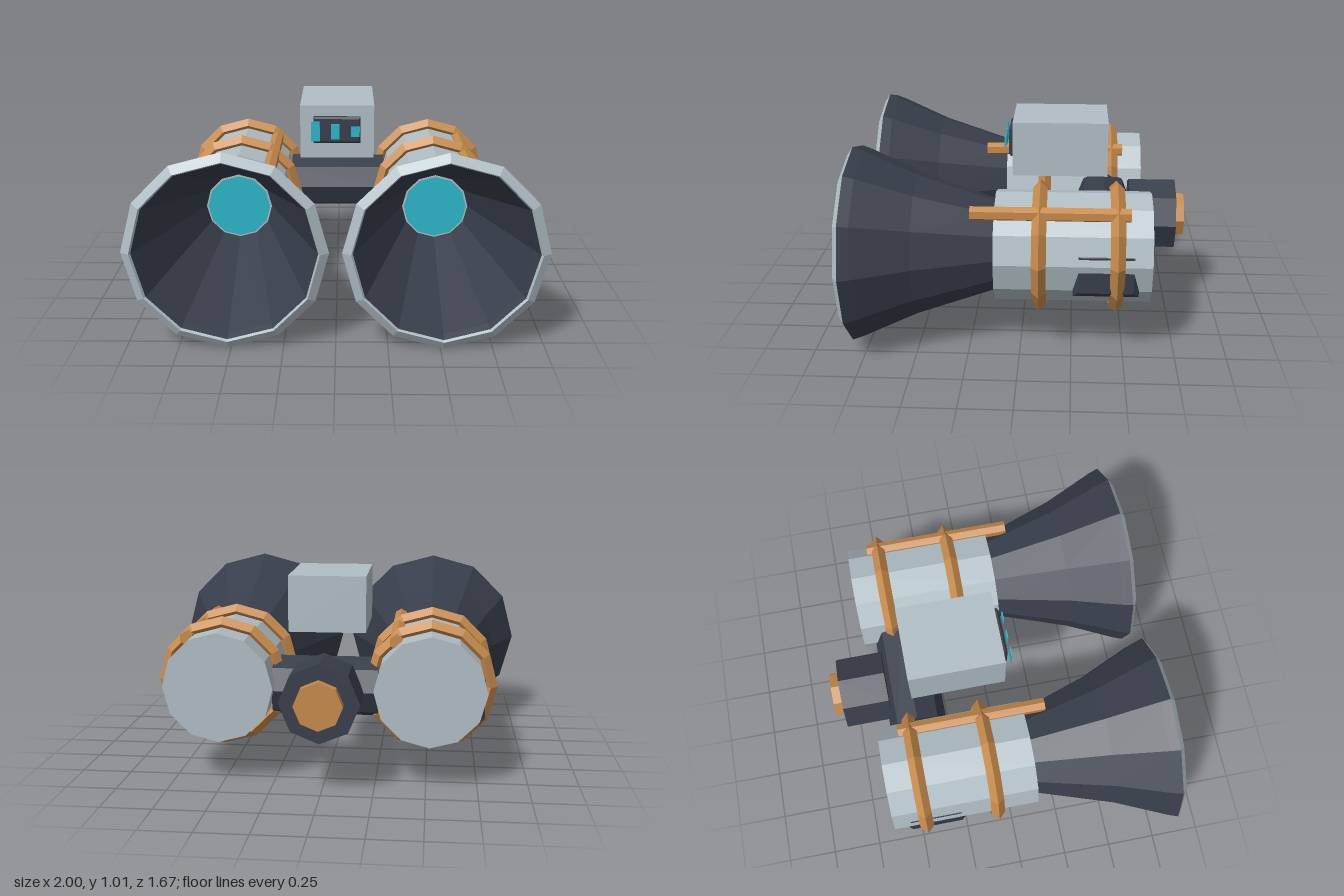
import * as THREE from 'three';

const flat = (name, color) => {
  const m = new THREE.MeshStandardMaterial({ color, flatShading: true });
  m.name = name;
  return m;
};

export function createModel() {
  const grey = flat('light grey', 0xb0bec5);
  const dark = flat('dark slate', 0x373d4a);
  const copper = flat('copper', 0xc68a4b);
  const cyan = flat('cyan', 0x2ab7ca);

  const model = new THREE.Group();
  model.name = 'twinHornUnit';

  const add = (parent, name, geometry, material, x = 0, y = 0, z = 0) => {
    const mesh = new THREE.Mesh(geometry, material);
    mesh.name = name;
    mesh.position.set(x, y, z);
    parent.add(mesh);
    return mesh;
  };
  // Prism lying along z, between two z values
  const prism = (parent, name, r, z0, z1, sides, material, x = 0, y = 0) =>
    add(parent, name, new THREE.CylinderGeometry(r, r, z1 - z0, sides).rotateX(Math.PI / 2),
      material, x, y, (z0 + z1) / 2);
  // Twelve-sided turned shell around z, from [radius, z] points
  const turned = (points) =>
    new THREE.LatheGeometry(points.map(([r, z]) => new THREE.Vector2(r, z)), 12).rotateX(Math.PI / 2);
  // Plate with chamfered front edges, facing +z with its front face at z = 0
  const chamferedPlate = (w, h, chamfer, depth) => {
    const s = new THREE.Shape();
    s.moveTo(-w / 2, -h / 2).lineTo(w / 2, -h / 2).lineTo(w / 2, h / 2).lineTo(-w / 2, h / 2);
    return new THREE.ExtrudeGeometry(s, {
      depth, bevelEnabled: true, bevelSize: chamfer, bevelThickness: chamfer, bevelSegments: 1,
    }).translate(0, 0, -depth - chamfer);
  };

  // Two horns with their bodies
  for (const side of [-1, 1]) {
    const horn = new THREE.Group();
    horn.name = side > 0 ? 'leftHorn' : 'rightHorn';
    horn.position.set(side * 0.515, 0.487, 0);
    model.add(horn);

    prism(horn, 'body', 0.272, -0.627, 0.123, 12, grey);

    // Flared bell, its lip and its inner wall
    add(horn, 'bellOuter', turned([[0.22, 0.11], [0.35, 0.5], [0.467, 0.76], [0.485, 0.81]]), dark);
    add(horn, 'bellRim', turned([[0.485, 0.81], [0.443, 0.838], [0.435, 0.825]]), grey);
    add(horn, 'bellInner', turned([[0.435, 0.825], [0.42, 0.79], [0.17, 0.13]]), dark);
    add(horn, 'lensRing', new THREE.CircleGeometry(0.175, 12), grey, 0, 0, 0.135);
    add(horn, 'lens', new THREE.CircleGeometry(0.163, 12), cyan, 0, 0, 0.14);

    // Copper bands and the rail across them
    for (const z of [-0.092, -0.462]) {
      add(horn, 'band', new THREE.TorusGeometry(0.29, 0.035, 4, 12), copper, 0, 0, z);
    }
    prism(horn, 'rail', 0.035, -0.522, 0.235, 6, copper, 0.17, 0.222);

    // Vent block sunk in the outer flank
    add(horn, 'sideVent',
      chamferedPlate(0.26, 0.18, 0.026, 0.1).rotateY(side * Math.PI / 2),
      dark, side * 0.263, -0.047, -0.41);
  }

  // Bridge joining the bodies, rear barrel and end nut
  add(model, 'bridge', new THREE.CylinderGeometry(0.15, 0.15, 0.52, 8).rotateZ(Math.PI / 2),
    dark, 0, 0.463, -0.415);
  prism(model, 'rearBarrel', 0.193, -0.787, -0.545, 8, dark, 0, 0.463);
  prism(model, 'endNut', 0.117, -0.836, -0.78, 8, copper, 0, 0.463);

  // Control box with its display
  add(model, 'controlBox', new THREE.BoxGeometry(0.385, 0.28, 0.485), grey, 0, 0.872, -0.181);
  add(model, 'displayPanel', chamferedPlate(0.225, 0.12, 0.01, 0.03), dark, 0, 0.885, 0.086);
  [[-0.112, 0.105], [-0.01, 0.08], [0.095, 0.055]].forEach(([x, h]) =>
    add(model, 'displayLight', new THREE.BoxGeometry(0.045, h, 0.006), cyan, x, 0.883, 0.104));

  return model;
}
